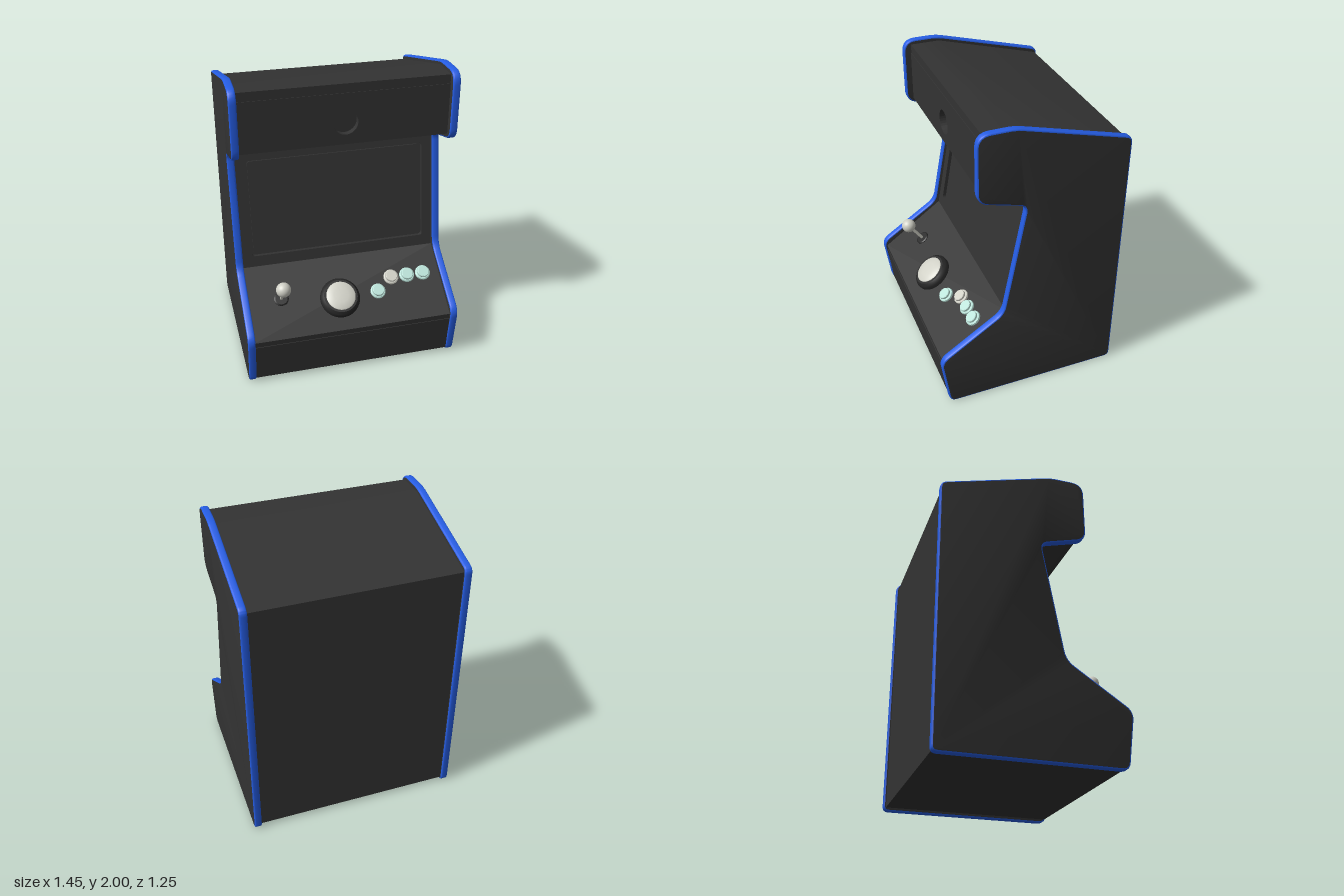
import * as THREE from 'three';
import { toCreasedNormals } from 'three/addons/utils/BufferGeometryUtils.js';

const mat = (name, color) => new THREE.MeshStandardMaterial({ name, color });

// Closed polygon with rounded corners; each point is [x, y, radius]
function roundedShape(points) {
  const shape = new THREE.Shape();
  const n = points.length;
  points.forEach(([x, y, r = 0], i) => {
    const p = new THREE.Vector2(x, y);
    const toward = (q) => new THREE.Vector2(q[0], q[1]).sub(p).normalize().multiplyScalar(r).add(p);
    const a = toward(points[(i + n - 1) % n]);
    const b = toward(points[(i + 1) % n]);
    if (i === 0) shape.moveTo(a.x, a.y);
    else shape.lineTo(a.x, a.y);
    if (r > 0) shape.quadraticCurveTo(x, y, b.x, b.y);
  });
  shape.closePath();
  return shape;
}

function rect(w, h, r = 0) {
  const x = w / 2, y = h / 2;
  return roundedShape([[-x, -y, r], [x, -y, r], [x, y, r], [-x, y, r]]);
}

// Extrudes a (z, y) profile across x, centred on x = 0
function sideExtrude(shape, width, bevel = 0) {
  const depth = width - 2 * bevel;
  const geo = new THREE.ExtrudeGeometry(shape, {
    depth, curveSegments: 8, bevelEnabled: bevel > 0,
    bevelSize: bevel, bevelThickness: bevel, bevelOffset: -bevel, bevelSegments: 3,
  });
  geo.translate(0, 0, -depth / 2).rotateY(-Math.PI / 2);
  return toCreasedNormals(geo, 0.6);
}

// Flat plate with its front face on local z = 0
function plate(shape, depth) {
  return new THREE.ExtrudeGeometry(shape, { depth, bevelEnabled: false, curveSegments: 16 })
    .translate(0, 0, -depth);
}

// Turned part from [radius, height] points
function turned(points, segments = 32) {
  const geo = new THREE.LatheGeometry(points.map(([r, y]) => new THREE.Vector2(r, y)), segments);
  return toCreasedNormals(geo, 0.6);
}

export function createModel() {
  const model = new THREE.Group();
  model.name = 'arcadeCabinet';

  const dark = mat('cabinetCharcoal', 0x333333);
  const black = mat('controlBlack', 0x262626);
  const blue = mat('edgeBlue', 0x265ee6);
  const cream = mat('controlCream', 0xd0d0c6);
  const mint = mat('buttonMint', 0xbce4da);

  const add = (parent, name, geo, material, x = 0, y = 0, z = 0) => {
    const mesh = new THREE.Mesh(geo, material);
    mesh.name = name;
    mesh.position.set(x, y, z);
    parent.add(mesh);
    return mesh;
  };
  const addGroup = (name, y, z, tilt) => {
    const group = new THREE.Group();
    group.name = name;
    group.position.set(0, y, z);
    group.rotation.x = tilt;
    model.add(group);
    return group;
  };

  // Side panels: charcoal faces with rounded blue edge trim
  const sideProfile = roundedShape([
    [0.37, 2.0, 0.09], [0.13, 2.0, 0.05], [-0.622, 1.795, 0.04], [-0.622, 0, 0.04],
    [0.577, 0, 0.05], [0.631, 0.375, 0.06], [0.2, 0.66, 0.06], [0.055, 1.463, 0.05],
    [0.37, 1.55, 0.07],
  ]);
  const sideGeo = sideExtrude(sideProfile, 0.05, 0.01);
  for (const s of [1, -1]) {
    add(model, s > 0 ? 'leftSidePanel' : 'rightSidePanel', sideGeo, [dark, blue], s * 0.7);
  }

  // Cabinet body, set back behind the screen surround and the marquee
  const bodyProfile = roundedShape([
    [0.28, 1.97], [0.12, 1.97], [-0.605, 1.768], [-0.605, 0.025], [0.57, 0.025],
    [0.605, 0.34], [0.17, 0.65], [0.14, 0.65], [0, 1.46], [0.28, 1.557],
  ]);
  add(model, 'cabinetBody', sideExtrude(bodyProfile, 1.36), dark);

  // Marquee with a round recess, and the header strip above it
  const marquee = rect(1.36, 0.34);
  marquee.holes.push(new THREE.Path().absarc(0, -0.025, 0.08, 0, Math.PI * 2, true));
  add(model, 'marquee', plate(marquee, 0.045), dark, 0, 1.74, 0.322);
  add(model, 'headerStrip', plate(rect(1.36, 0.06), 0.045), dark, 0, 1.94, 0.318);

  // Screen surround with a recessed screen
  const screen = addGroup('screen', 1.06, 0.1, -Math.atan2(0.14, 0.82));
  const surround = rect(1.36, 0.83);
  surround.holes.push(rect(1.215, 0.68, 0.025));
  add(screen, 'screenSurround', plate(surround, 0.035), dark);
  add(screen, 'screenGlass', plate(rect(1.185, 0.65, 0.02), 0.018), dark, 0, 0, -0.017);

  // Lower front panel
  const kick = addGroup('lowerFront', 0.165, 0.587, Math.atan2(0.035, 0.315));
  add(kick, 'lowerFrontPanel', plate(rect(1.36, 0.275), 0.008), dark, 0, 0, 0.003);

  // Control deck: local y is the deck normal, local z runs down the slope
  const deck = addGroup('controlDeck', 0.65, 0.17, Math.atan2(0.31, 0.43));

  // Joystick
  add(deck, 'joystickBase', turned([[0.05, -0.01], [0.05, 0.006], [0.042, 0.012], [0, 0.012]]),
    black, -0.455, 0, 0.255);
  add(deck, 'joystickShaft', new THREE.CylinderGeometry(0.011, 0.011, 0.16, 16), cream, -0.455, 0.08, 0.255);
  add(deck, 'joystickBall', new THREE.SphereGeometry(0.05, 28, 18), cream, -0.455, 0.176, 0.255);

  // Trackball in its dark collar
  add(deck, 'trackballCollar', turned([
    [0.136, -0.01], [0.136, 0.025], [0.13, 0.038], [0.115, 0.053], [0.1, 0.053], [0.1, 0.03],
  ], 40), black, -0.06, 0, 0.31);
  add(deck, 'trackball', turned([
    [0.1, 0.03], [0.1, 0.056], [0.092, 0.062], [0.05, 0.068], [0, 0.07],
  ], 40), cream, -0.06, 0, 0.31);

  // Push buttons: collar with a raised plunger
  const buttonGeo = turned([
    [0.053, -0.01], [0.053, 0.015], [0.046, 0.021], [0.041, 0.021], [0.041, 0.035], [0.037, 0.039], [0, 0.039],
  ], 16);
  const buttons = [[0.212, 0.3, mint], [0.325, 0.212, cream], [0.44, 0.212, mint], [0.556, 0.212, mint]];
  buttons.forEach(([x, z, material], i) => add(deck, `button${i + 1}`, buttonGeo, material, x, 0, z));

  return model;
}
